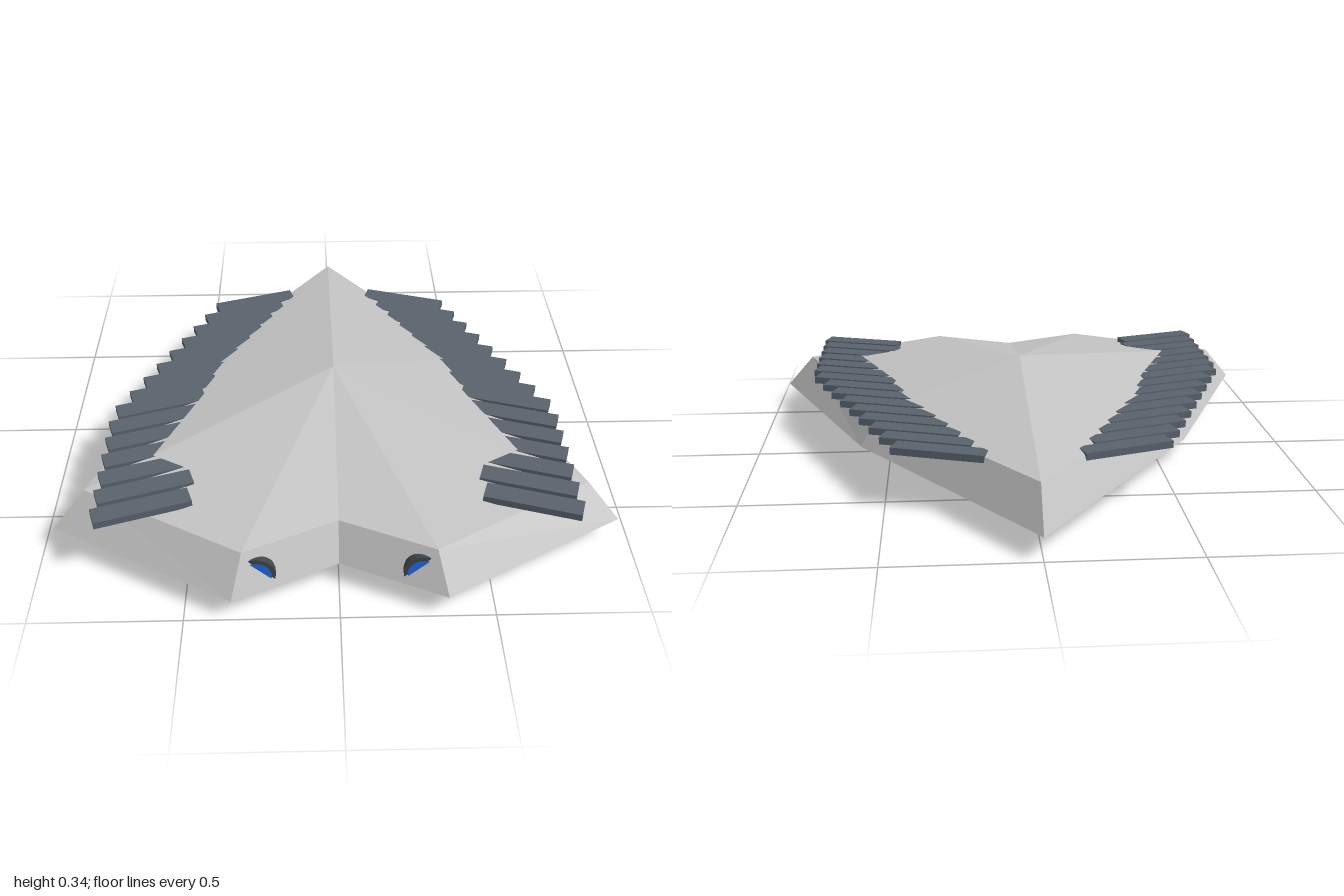
import * as THREE from 'three';

const material = (name, color) => {
  const m = new THREE.MeshStandardMaterial({ color });
  m.name = name;
  return m;
};

export function createModel() {
  const hullGrey = material('hullGrey', 0xc4c4c4);
  const slateGrey = material('slateGrey', 0x5a626d);
  const darkMetal = material('darkMetal', 0x40454c);
  const glowBlue = material('glowBlue', 0x2268dd);
  hullGrey.flatShading = true;

  const model = new THREE.Group();
  model.name = 'ship';
  const add = (geometry, mat, name, parent = model) => {
    const mesh = new THREE.Mesh(geometry, mat);
    mesh.name = name;
    parent.add(mesh);
    return mesh;
  };

  // Half outlines run from the tail tip round the +x side to the front notch
  const ring = (half, y) => {
    const mirrored = half.slice(1, -1).reverse().map(([x, z]) => [-x, z]);
    return [...half, ...mirrored].map(([x, z]) => [x, y, z]);
  };
  const lower = ring([[0, -1], [0.6, -0.17], [0.96, 0.65], [0.345, 1], [0, 0.84]], 0.082);
  const upper = ring([[0, -0.88], [0.535, -0.14], [0.85, 0.605], [0.31, 0.918], [0, 0.775]], 0.213);
  const top = [0, 0.345, 0.09];
  const bottom = [0, 0, 0.09];

  // Hull: faceted roof, sloping rim and faceted belly
  const points = [];
  lower.forEach((a, i) => {
    const j = (i + 1) % lower.length;
    const b = lower[j], c = upper[i], d = upper[j];
    points.push(top, d, c, a, c, d, a, d, b, bottom, a, b);
  });
  const hull = new THREE.BufferGeometry();
  hull.setAttribute('position', new THREE.Float32BufferAttribute(points.flat(), 3));
  hull.computeVertexNormals();
  add(hull, hullGrey, 'hull');

  // Overlapping rows of slanted slats along both flanks
  const slat = new THREE.BoxGeometry(0.324, 0.025, 0.072);
  for (const side of [1, -1]) {
    const row = new THREE.Group();
    row.name = side > 0 ? 'leftSlats' : 'rightSlats';
    model.add(row);
    for (let i = 0; i < 15; i++) {
      const mesh = add(slat, slateGrey, 'slat', row);
      mesh.position.set(
        side * Math.min(0.31 + 0.04 * i, 0.642),
        0.235 - 0.0033 * Math.max(0, 8 - i),
        -0.58 + 0.0932 * i
      );
      mesh.rotation.y = -side * 0.316;
    }

    // Engine half sunk into the front rim, with a glowing face
    const engine = new THREE.Group();
    engine.name = side > 0 ? 'leftEngine' : 'rightEngine';
    engine.position.set(side * 0.266, 0.123, 0.925);
    model.add(engine);
    const housing = add(new THREE.CylinderGeometry(0.063, 0.063, 0.19, 24), darkMetal, 'engineHousing', engine);
    housing.rotation.x = Math.PI / 2;
    housing.position.z = -0.095;
    const glow = add(new THREE.CircleGeometry(0.05, 24), glowBlue, 'engineGlow', engine);
    glow.position.z = 0.003;
  }
  return model;
}
